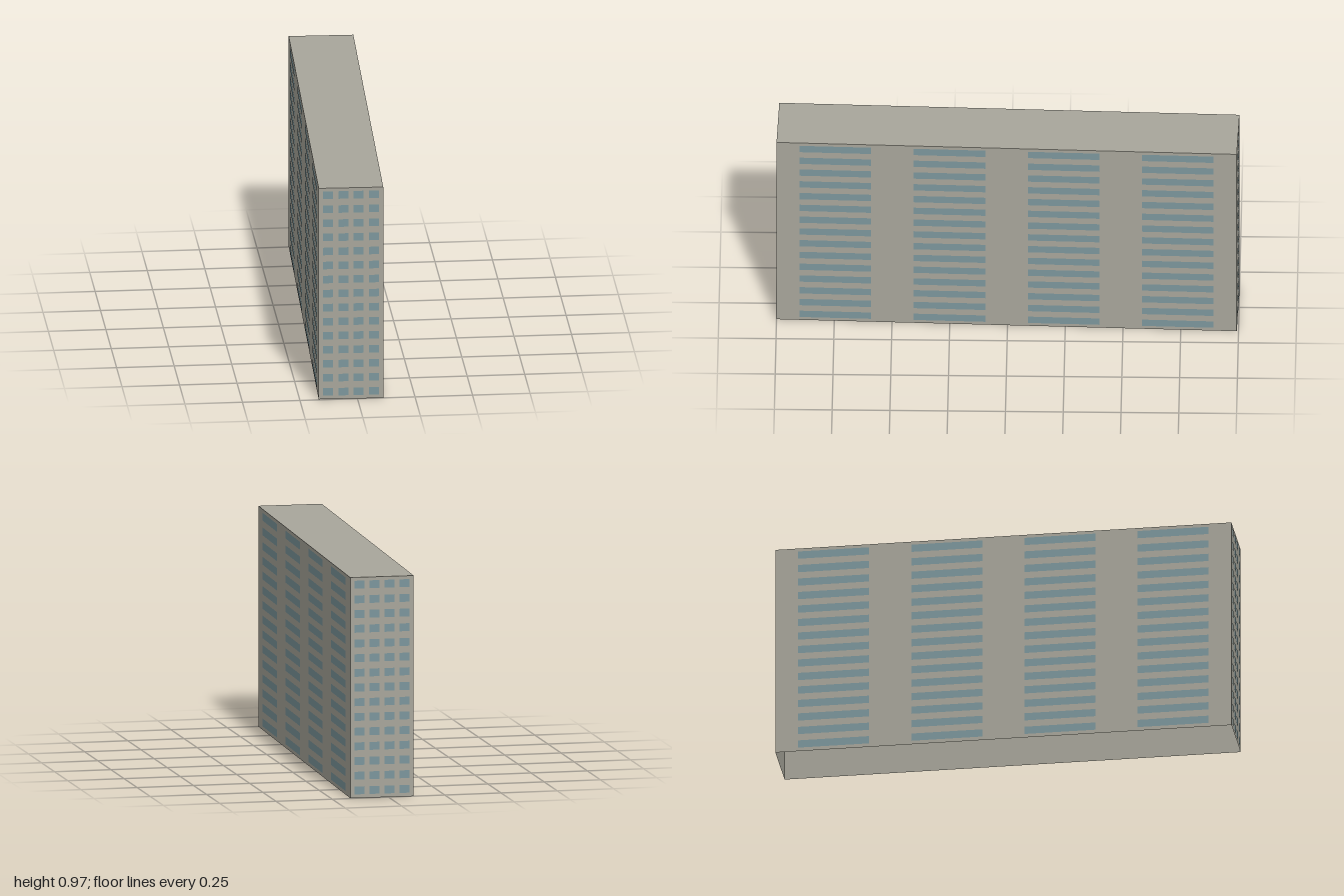
import * as THREE from 'three';
import { mergeGeometries } from 'three/addons/utils/BufferGeometryUtils.js';

const WIDTH = 0.28, LENGTH = 1.993, HEIGHT = 0.967;
const ROWS = 15, ROW_PITCH = 0.0644, FIRST_ROW = 0.0335, WINDOW_HEIGHT = 0.0345;
const COLUMNS = 4;

export function createModel() {
  const concrete = new THREE.MeshStandardMaterial({ color: 0xa8a69b, side: THREE.DoubleSide });
  concrete.name = 'concrete';
  const glass = new THREE.MeshStandardMaterial({ color: 0x7c969c });
  glass.name = 'glass';

  const building = new THREE.Group();
  building.name = 'apartmentBlock';

  // A wall facing its local +z, with a grid of flat windows just in front of it
  function addFacade(name, wallWidth, distance, angle, paneWidth, panePitch) {
    const facade = new THREE.Group();
    facade.name = name;

    const wall = new THREE.Mesh(new THREE.PlaneGeometry(wallWidth, HEIGHT), concrete);
    wall.name = name + 'Wall';
    wall.position.set(0, HEIGHT / 2, distance);

    const panes = [];
    for (let row = 0; row < ROWS; row++) {
      for (let col = 0; col < COLUMNS; col++) {
        panes.push(new THREE.PlaneGeometry(paneWidth, WINDOW_HEIGHT).translate(
          (col - (COLUMNS - 1) / 2) * panePitch,
          FIRST_ROW + row * ROW_PITCH,
          distance + 0.0012
        ));
      }
    }
    const windows = new THREE.Mesh(mergeGeometries(panes), glass);
    windows.name = name + 'Windows';

    facade.add(wall, windows);
    facade.rotation.y = angle;
    building.add(facade);
  }

  // Narrow ends and long sides
  addFacade('front', WIDTH, LENGTH / 2, 0, 0.0435, 0.0663);
  addFacade('back', WIDTH, LENGTH / 2, Math.PI, 0.0435, 0.0663);
  addFacade('left', LENGTH, WIDTH / 2, Math.PI / 2, 0.31, 0.4945);
  addFacade('right', LENGTH, WIDTH / 2, -Math.PI / 2, 0.31, 0.4945);

  // Flat roof; the underside stays open
  const roof = new THREE.Mesh(new THREE.PlaneGeometry(WIDTH, LENGTH).rotateX(-Math.PI / 2), concrete);
  roof.name = 'roof';
  roof.position.y = HEIGHT;
  building.add(roof);

  // The block stands slightly turned on its plot
  building.rotation.y = -0.028;

  const model = new THREE.Group();
  model.name = 'model';
  model.add(building);
  return model;
}
